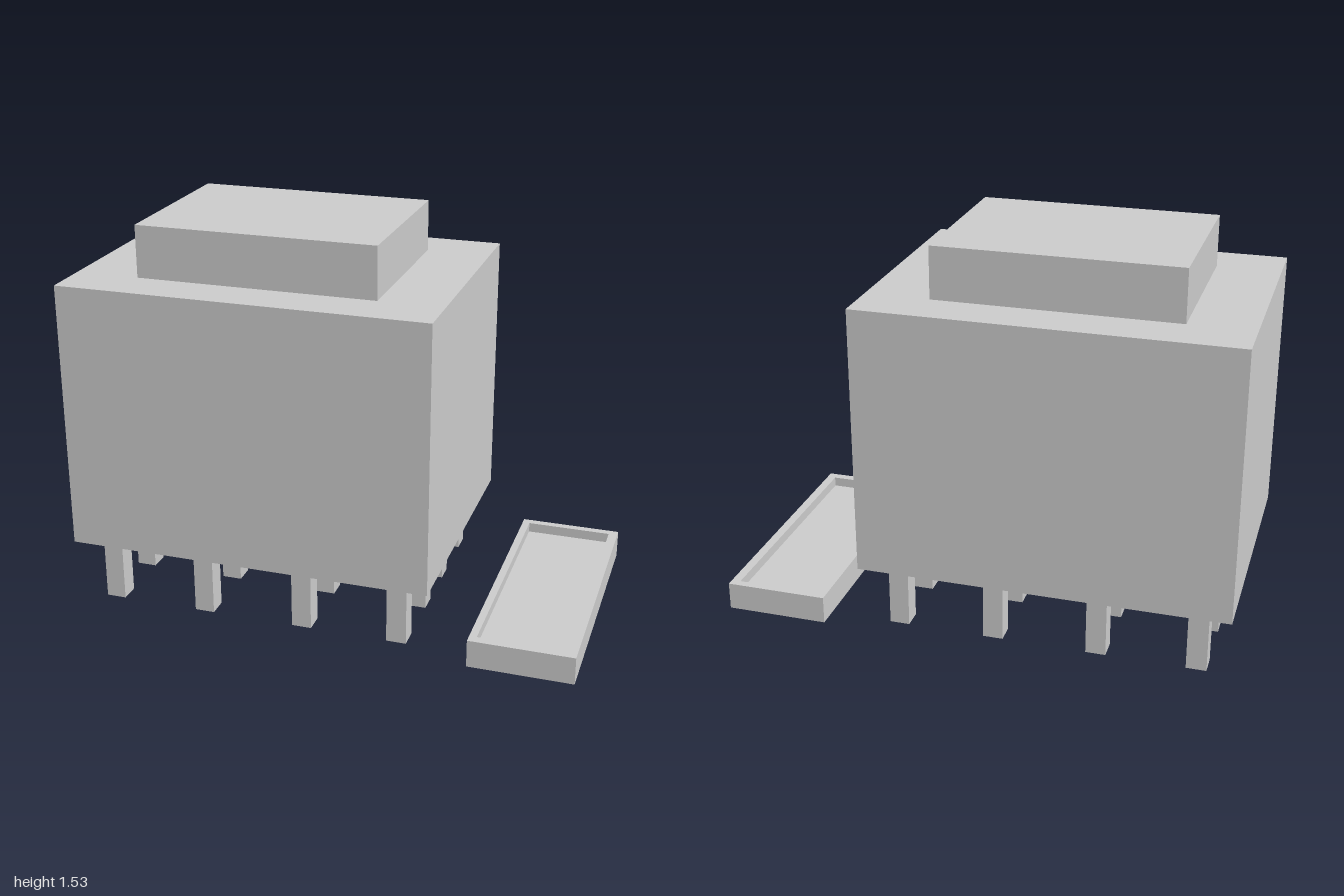
import * as THREE from 'three';

const material = new THREE.MeshStandardMaterial({ color: 0xcccccc, flatShading: true });

// Box given by its lower and upper corners
function box(name, [x0, y0, z0], [x1, y1, z1]) {
  const mesh = new THREE.Mesh(new THREE.BoxGeometry(x1 - x0, y1 - y0, z1 - z0), material);
  mesh.position.set((x0 + x1) / 2, (y0 + y1) / 2, (z0 + z1) / 2);
  mesh.name = name;
  return mesh;
}

function rectangle(PathType, x0, z0, x1, z1) {
  // shape y becomes -z once laid flat
  return new PathType([[x0, -z1], [x1, -z1], [x1, -z0], [x0, -z0]].map(([x, y]) => new THREE.Vector2(x, y)));
}

export function createModel() {
  const model = new THREE.Group();
  model.name = 'blockOnLegsWithTray';

  // Main block with a smaller block on top
  model.add(box('body', [-1, 0.27, -0.53], [0.44, 1.325, 0.53]));
  model.add(box('topBlock', [-0.75, 1.325, -0.346], [0.188, 1.528, 0.346]));

  // Four by four grid of square legs
  const legs = new THREE.Group();
  legs.name = 'legs';
  const half = 0.039;
  for (const x of [-0.87, -0.485, -0.079, 0.303]) {
    for (const z of [-0.414, -0.13, 0.133, 0.418]) {
      legs.add(box('leg', [x - half, 0.008, z - half], [x + half, 0.27, z + half]));
    }
  }
  model.add(legs);

  // Shallow tray: a floor slab and a raised rim
  const tray = new THREE.Group();
  tray.name = 'tray';
  const floorY = 0.07, rimY = 0.11;
  const outer = [0.595, -0.523, 1, 0.53];
  const base = new THREE.ExtrudeGeometry(rectangle(THREE.Shape, ...outer), { depth: floorY, bevelEnabled: false });
  const rimShape = rectangle(THREE.Shape, ...outer);
  rimShape.holes.push(rectangle(THREE.Path, 0.624, -0.492, 0.964, 0.494));
  const rim = new THREE.ExtrudeGeometry(rimShape, { depth: rimY - floorY, bevelEnabled: false });
  [['trayFloor', base, 0], ['trayRim', rim, floorY]].forEach(([name, geometry, y]) => {
    const mesh = new THREE.Mesh(geometry.rotateX(-Math.PI / 2), material);
    mesh.position.y = y;
    mesh.name = name;
    tray.add(mesh);
  });
  model.add(tray);

  return model;
}
